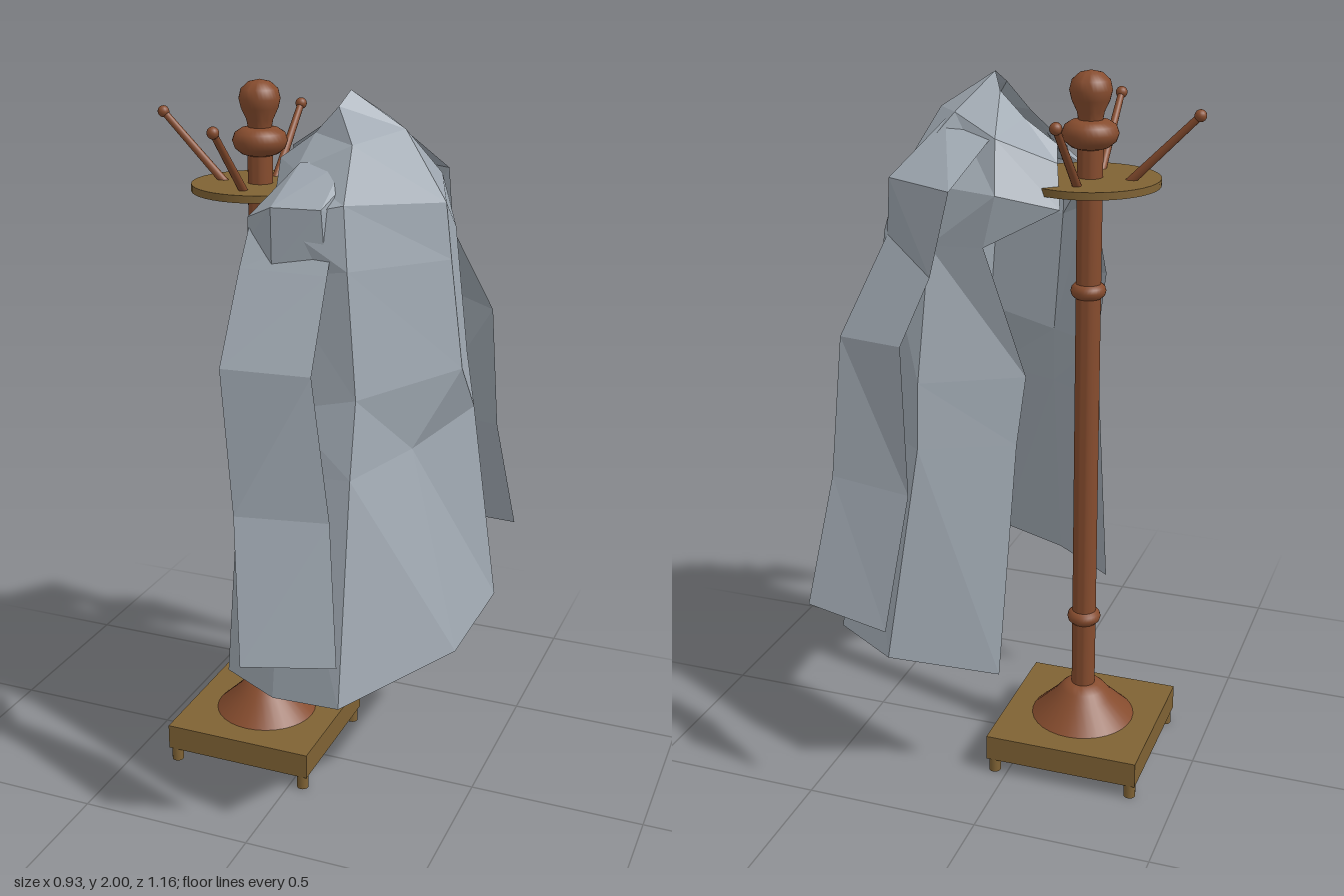
import * as THREE from 'three';
import { toCreasedNormals } from 'three/addons/utils/BufferGeometryUtils.js';

const PX = -0.165, PZ = -0.022; // stand axis

const turnedWood = new THREE.MeshStandardMaterial({ color: 0x864c2e });
turnedWood.name = 'turnedWood';
const boardWood = new THREE.MeshStandardMaterial({ color: 0x7f6234 });
boardWood.name = 'boardWood';
const cloth = new THREE.MeshStandardMaterial({ color: 0xa0a9b2, flatShading: true, side: THREE.DoubleSide });
cloth.name = 'cloth';

function add(parent, name, geometry, material, x = 0, y = 0, z = 0) {
  const mesh = new THREE.Mesh(geometry, material);
  mesh.name = name;
  mesh.position.set(x, y, z);
  parent.add(mesh);
  return mesh;
}

// Open sheet of cloth through successive rows of points
function sheet(rows) {
  const n = rows[0].length, index = [];
  for (let r = 0; r < rows.length - 1; r++) {
    for (let i = 0; i < n - 1; i++) {
      const a = r * n + i, b = a + 1, c = a + n, d = b + n;
      index.push(a, b, c, b, d, c);
    }
  }
  const geometry = new THREE.BufferGeometry();
  geometry.setAttribute('position', new THREE.Float32BufferAttribute(rows.flat(2), 3));
  geometry.setIndex(index);
  geometry.computeVertexNormals();
  return geometry;
}

function createStand() {
  const stand = new THREE.Group();
  stand.name = 'stand';
  stand.position.set(PX, 0, PZ);

  // Square base with four feet
  add(stand, 'base', new THREE.BoxGeometry(0.446, 0.075, 0.446), boardWood, 0, 0.0795, 0);
  for (const sx of [-1, 1]) for (const sz of [-1, 1]) {
    add(stand, 'foot', new THREE.CylinderGeometry(0.017, 0.017, 0.045, 16), boardWood, sx * 0.204, 0.0225, sz * 0.204);
  }

  // Turned post with flared foot, collar and finial
  const profile = [
    [0, 0.117], [0.15, 0.117], [0.085, 0.18], [0.065, 0.205], [0.05, 0.218], [0.034, 0.222],
    [0.034, 1.80], [0.05, 1.805], [0.068, 1.82], [0.075, 1.84], [0.068, 1.86], [0.05, 1.872], [0.032, 1.875],
    [0.036, 1.895], [0.05, 1.925], [0.056, 1.95], [0.05, 1.975], [0.03, 1.993], [0, 2.0],
  ].map(p => new THREE.Vector2(...p));
  add(stand, 'post', toCreasedNormals(new THREE.LatheGeometry(profile, 32), 0.7), turnedWood);

  // Rounded rings on the post
  for (const y of [0.44, 1.42]) {
    const ring = add(stand, 'postRing', new THREE.TorusGeometry(0.026, 0.022, 12, 32), turnedWood, 0, y, 0);
    ring.rotation.x = Math.PI / 2;
  }

  // Round plate holding the pegs
  add(stand, 'pegPlate', new THREE.CylinderGeometry(0.187, 0.187, 0.02, 40), boardWood, 0, 1.716, 0);

  // Four slanted pegs with ball tips
  for (let i = 0; i < 4; i++) {
    const peg = new THREE.Group();
    peg.name = 'peg';
    peg.rotation.y = i * Math.PI / 2;
    const rod = add(peg, 'pegRod', new THREE.CylinderGeometry(0.0095, 0.012, 0.265, 12), turnedWood, 0.194, 1.807, 0);
    rod.rotation.z = -Math.PI / 4;
    add(peg, 'pegBall', new THREE.SphereGeometry(0.016, 16, 12), turnedWood, 0.287, 1.9, 0);
    stand.add(peg);
  }
  return stand;
}

function createCoat() {
  const coat = new THREE.Group();
  coat.name = 'coat';

  // Shoulders, from the neck opening down; each row runs from one front edge round the back to the other
  const chest = [[-0.135, 1.67, -0.18], [0.0, 1.72, -0.29], [0.27, 1.74, -0.27], [0.358, 1.71, -0.03], [0.18, 1.74, 0.25], [0.0, 1.7, 0.28], [-0.08, 1.66, 0.16]];
  add(coat, 'coatShoulders', sheet([
    [[-0.1, 1.82, -0.095], [-0.01, 1.88, -0.09], [0.06, 1.945, -0.08], [0.095, 1.985, -0.02], [0.085, 1.95, 0.04], [0.02, 1.88, 0.04], [-0.1, 1.8, -0.01]],
    [[-0.115, 1.78, -0.14], [0.02, 1.85, -0.23], [0.15, 1.9, -0.17], [0.24, 1.89, -0.04], [0.16, 1.87, 0.14], [0.01, 1.8, 0.15], [-0.06, 1.75, 0.11]],
    chest,
  ]), cloth);

  // Long body with hanging front panels
  add(coat, 'coatBody', sheet([
    chest,
    [[0.04, 1.58, -0.27], [0.18, 1.58, -0.29], [0.32, 1.6, -0.25], [0.375, 1.56, -0.035], [0.2, 1.58, 0.275], [0.0, 1.55, 0.265], [-0.09, 1.6, 0.19]],
    [[-0.05, 1.22, -0.2], [0.2, 1.22, -0.34], [0.36, 1.24, -0.265], [0.41, 1.26, -0.05], [0.23, 1.25, 0.285], [0.03, 1.2, 0.28], [-0.13, 1.2, 0.18]],
    [[-0.03, 1.03, -0.22], [0.2, 1.04, -0.355], [0.385, 1.08, -0.27], [0.315, 1.06, 0.075], [0.235, 1.05, 0.335], [0.04, 1.03, 0.31], [-0.133, 1.02, 0.21]],
    [[0.0, 0.36, -0.29], [0.28, 0.43, -0.415], [0.45, 0.465, -0.345], [0.46, 0.485, 0.09], [0.255, 0.455, 0.46], [0.05, 0.425, 0.42], [-0.137, 0.41, 0.30]],
  ]), cloth);

  // Cap of the front sleeve, folded over the shoulder
  add(coat, 'frontSleeveCap', sheet([
    [[-0.05, 1.75, 0.13], [0.02, 1.82, 0.14], [0.14, 1.83, 0.14], [0.17, 1.8, 0.16]],
    [[-0.085, 1.69, 0.24], [0.0, 1.73, 0.29], [0.13, 1.73, 0.275], [0.17, 1.7, 0.2]],
    [[-0.085, 1.63, 0.24], [0.0, 1.57, 0.285], [0.14, 1.58, 0.27], [0.165, 1.66, 0.2]],
  ]), cloth);

  // Flat sleeve hanging at the front
  add(coat, 'frontSleeve', sheet([
    [[-0.08, 1.67, 0.24], [0.15, 1.67, 0.235]],
    [[-0.085, 1.57, 0.295], [0.155, 1.57, 0.295]],
    [[-0.085, 1.34, 0.425], [0.168, 1.35, 0.433]],
    [[-0.025, 0.97, 0.485], [0.22, 0.97, 0.437]],
    [[0.03, 0.595, 0.58], [0.273, 0.61, 0.52]],
  ]), cloth);

  // Flat sleeve hanging at the back, with its cap
  add(coat, 'backSleeve', sheet([
    [[0.03, 1.86, -0.2], [0.18, 1.88, -0.16]],
    [[0.075, 1.75, -0.408], [0.28, 1.75, -0.30]],
    [[0.13, 1.53, -0.408], [0.31, 1.59, -0.255]],
    [[0.18, 1.37, -0.49], [0.4, 1.34, -0.375]],
    [[0.168, 0.97, -0.495], [0.41, 0.97, -0.44]],
    [[0.208, 0.61, -0.58], [0.455, 0.625, -0.53]],
  ]), cloth);

  return coat;
}

export function createModel() {
  const model = new THREE.Group();
  model.name = 'coatStand';
  model.add(createStand(), createCoat());
  return model;
}
